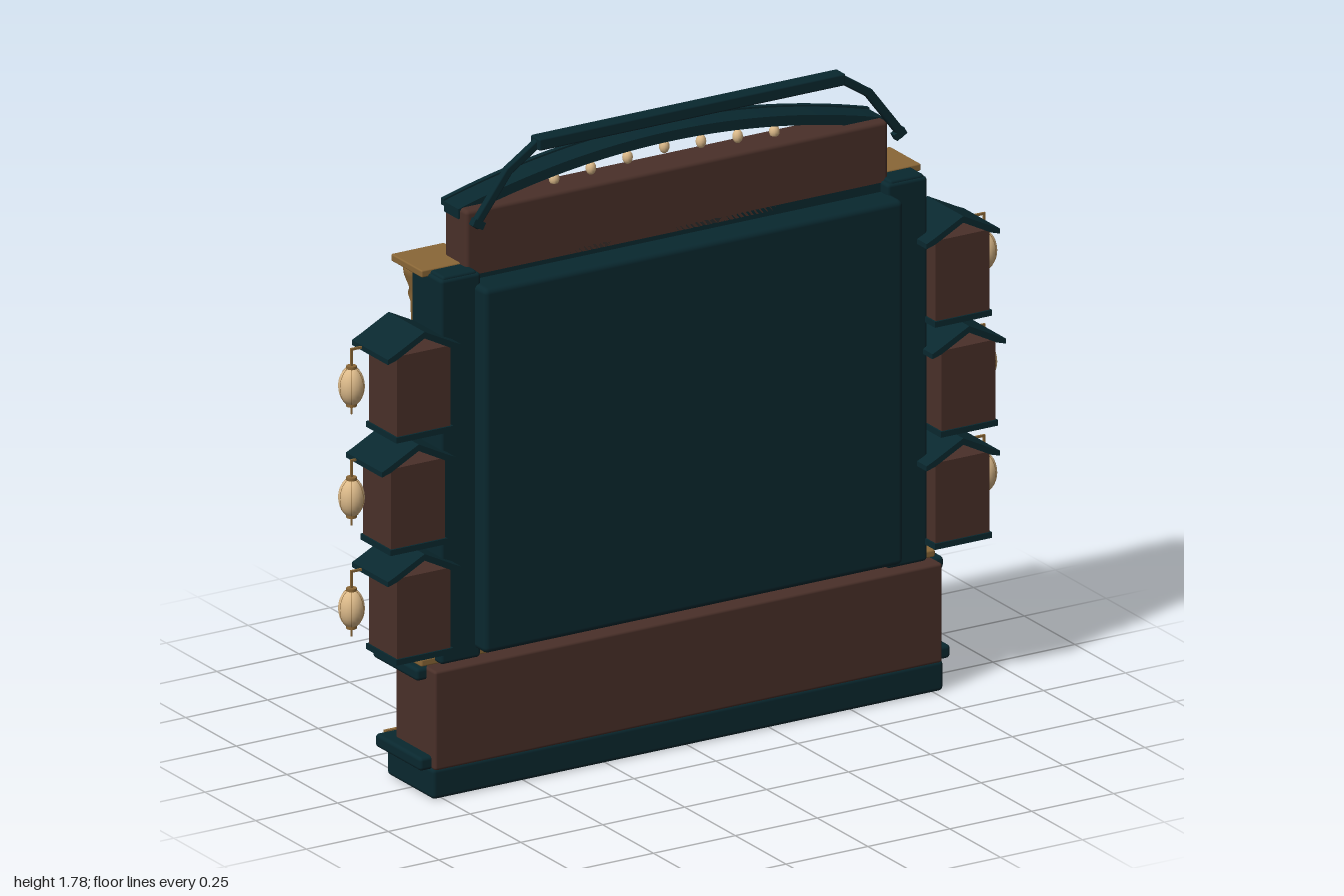
import * as THREE from 'three';
import { RoundedBoxGeometry } from 'three/addons/geometries/RoundedBoxGeometry.js';

const material = (name, color) => {
  const m = new THREE.MeshStandardMaterial({ color });
  m.name = name;
  return m;
};

export function createModel() {
  const root = new THREE.Group();
  const teal = material('dark teal', 0x09282f);
  const brown = material('dark brown', 0x4a3029);
  const gold = material('old gold', 0x8a6737);
  const cream = material('lantern cream', 0xdcba8a);

  const add = (name, geo, mat, x = 0, y = 0, z = 0, parent = root) => {
    const m = new THREE.Mesh(geo, mat);
    m.name = name;
    m.position.set(x, y, z);
    parent.add(m);
    return m;
  };
  // Box given by its limits; r rounds the edges
  const box = (name, mat, x0, x1, y0, y1, z0, z1, r = 0, parent = root) => {
    const s = [x1 - x0, y1 - y0, z1 - z0];
    const g = r ? new RoundedBoxGeometry(...s, 2, r) : new THREE.BoxGeometry(...s);
    return add(name, g, mat, (x0 + x1) / 2, (y0 + y1) / 2, (z0 + z1) / 2, parent);
  };
  const extrude = (shape, depth) =>
    new THREE.ExtrudeGeometry(shape, { depth, bevelEnabled: false, curveSegments: 8 });
  const rect = (T, w, h, r) => {
    const p = new T(), a = w / 2, b = h / 2;
    p.moveTo(-a + r, -b);
    p.lineTo(a - r, -b); p.quadraticCurveTo(a, -b, a, -b + r);
    p.lineTo(a, b - r); p.quadraticCurveTo(a, b, a - r, b);
    p.lineTo(-a + r, b); p.quadraticCurveTo(-a, b, -a, b - r);
    p.lineTo(-a, -b + r); p.quadraticCurveTo(-a, -b, -a + r, -b);
    return p;
  };
  const frame = (name, mat, w, h, t, y, z0, z1, r = 0.002) => {
    const s = rect(THREE.Shape, w, h, r);
    s.holes.push(rect(THREE.Path, w - 2 * t, h - 2 * t, r));
    return add(name, extrude(s, z1 - z0), mat, 0, y, z0);
  };
  // Parabolic arch band
  const arch = (half, y0, rise) => x => y0 + rise * (1 - (x / half) ** 2);
  const band = (name, mat, f, half, thick, z0, z1) => {
    const s = new THREE.Shape(), n = 32;
    for (let i = 0; i <= n; i++) {
      const x = half * (2 * i / n - 1);
      i ? s.lineTo(x, f(x)) : s.moveTo(x, f(x));
    }
    for (let i = n; i >= 0; i--) {
      const x = half * (2 * i / n - 1);
      s.lineTo(x, f(x) - thick);
    }
    return add(name, extrude(s, z1 - z0), mat, 0, 0, z0);
  };

  // Base
  box('plinth', teal, -0.78, 0.78, 0, 0.085, -0.115, 0.115, 0.012);
  box('lowerLedge', teal, -0.81, 0.81, 0.08, 0.117, -0.125, 0.1, 0.01);
  box('baseBody', brown, -0.775, 0.775, 0.08, 0.355, -0.08, 0.117, 0.008);
  box('upperLedge', teal, -0.805, 0.805, 0.32, 0.355, -0.145, 0.075, 0.01);
  box('goldLedge', gold, -0.785, 0.785, 0.353, 0.375, -0.135, 0.065, 0.006);
  box('basePanel', teal, -0.7, 0.7, 0.115, 0.322, -0.088, -0.078);
  box('lowerTrim', gold, -0.78, 0.78, 0.108, 0.12, -0.128, -0.118);
  box('upperTrim', gold, -0.78, 0.78, 0.312, 0.322, -0.092, -0.08);

  // Arched bridge relief with railing
  const deck = arch(0.62, 0.155, 0.105);
  band('bridgeDeck', teal, deck, 0.62, 0.03, -0.116, -0.085);
  band('bridgeEdge', gold, x => deck(x) + 0.006, 0.62, 0.014, -0.122, -0.115);
  band('bridgeRail', gold, x => deck(x) + 0.055, 0.62, 0.017, -0.122, -0.114);
  for (let i = 0; i <= 18; i++) {
    const x = -0.61 + i * 1.22 / 18, y = deck(x);
    box('railPost', gold, x - 0.008, x + 0.008, y, y + 0.055, -0.123, -0.114);
  }
  for (let i = -2; i <= 2; i++) {
    const w = add('waveRelief', new THREE.TorusGeometry(0.035, 0.004, 6, 16, Math.PI), gold,
      i * 0.11, 0.14 + 0.012 * (2 - Math.abs(i)), -0.089);
    w.scale.y = 0.5;
  }

  // Cabinet and recessed screen
  box('rearPanel', teal, -0.64, 0.64, 0.385, 1.395, 0.02, 0.145, 0.016);
  frame('recessWalls', teal, 1.28, 1.05, 0.07, 0.895, -0.052, 0.06);
  frame('outerFrame', gold, 1.22, 1.04, 0.03, 0.893, -0.112, -0.05);
  frame('innerFrame', gold, 1.16, 0.98, 0.016, 0.893, -0.075, -0.045);
  frame('frameGroove', teal, 1.198, 1.018, 0.007, 0.893, -0.114, -0.111);

  // Pillars and columns
  const columnProfile = [[0, 0], [0.048, 0], [0.048, 0.03], [0.038, 0.045], [0.033, 0.08], [0.031, 0.5],
    [0.033, 0.93], [0.04, 0.955], [0.036, 0.97], [0.05, 1.01], [0.055, 1.045], [0, 1.045]]
    .map(p => new THREE.Vector2(...p));
  for (const s of [-1, 1]) {
    const side = (name, mat, a, b, ...rest) =>
      box(name, mat, Math.min(s * a, s * b), Math.max(s * a, s * b), ...rest);
    side('pillar', teal, 0.62, 0.743, 0.36, 1.425, -0.052, 0.095, 0.01);
    side('pillarCap', teal, 0.63, 0.735, 1.4, 1.432, -0.03, 0.09, 0.008);
    side('capitalSlab', gold, 0.6, 0.762, 1.416, 1.436, -0.122, 0.03, 0.004);
    const c = add('column', new THREE.LatheGeometry(columnProfile, 20), gold, s * 0.687, 0.374, -0.08);
    c.scale.x = 1.1;
    c.scale.z = 0.92;
  }

  // Header
  box('header', brown, -0.645, 0.645, 1.395, 1.587, -0.047, 0.06, 0.012);
  box('frameBacking', teal, -0.6, 0.6, 1.405, 1.418, -0.104, -0.04);
  const roof = arch(0.65, 1.585, 0.09);
  band('archRoof', teal, roof, 0.65, 0.028, -0.042, 0.03);
  band('archTrim', gold, x => roof(x) - 0.02, 0.64, 0.01, -0.05, -0.042);
  band('archFascia', teal, x => roof(x) + 0.005, 0.65, 0.018, -0.056, -0.042);
  for (let i = -14; i <= 14; i++) {
    const x = i * 0.044;
    add('archStud', new THREE.SphereGeometry(0.008, 8, 6), gold, x, roof(x) - 0.024, -0.052);
  }
  for (let i = -3; i <= 3; i++) {
    const x = i * 0.112, y = 1.622 - Math.abs(i) * 0.008;
    add('smallLantern', new THREE.SphereGeometry(0.014, 12, 8), cream, x, y, -0.005).scale.y = 1.35;
    add('smallLanternCord', new THREE.CylinderGeometry(0.003, 0.003, 0.03, 6), gold, x, y + 0.028, -0.005);
  }
  // Scroll ornaments
  for (const s of [-1, 1]) {
    for (const d of [-1, 1]) {
      add('scroll', new THREE.TorusGeometry(0.02, 0.005, 6, 16), gold, s * 0.45 + d * 0.04, 1.485, -0.048);
      const tip = add('scrollTip', new THREE.TorusGeometry(0.025, 0.004, 6, 12, Math.PI), gold,
        s * 0.45 + d * 0.06, 1.492, -0.048);
      tip.scale.y = 0.7;
    }
    add('scrollCentre', new THREE.SphereGeometry(0.013, 10, 8), gold, s * 0.45, 1.485, -0.048);
  }
  // Nameplate
  add('signBack', extrude(rect(THREE.Shape, 0.59, 0.165, 0.03), 0.046), teal, 0, 1.455, -0.108);
  frame('signFrame', gold, 0.59, 0.16, 0.015, 1.453, -0.126, -0.1, 0.03);

  // Carrying bar
  const bar = [[-0.65, 1.568], [-0.55, 1.7], [-0.46, 1.759], [0.46, 1.759], [0.55, 1.7], [0.65, 1.568]];
  for (let i = 0; i < bar.length - 1; i++) {
    const [a, b] = [bar[i], bar[i + 1]];
    const dx = b[0] - a[0], dy = b[1] - a[1], top = i === 2;
    const g = new RoundedBoxGeometry(Math.hypot(dx, dy) + 0.015, top ? 0.033 : 0.024, top ? 0.045 : 0.02, 2, 0.005);
    add(top ? 'carryingBar' : 'barArm', g, teal, (a[0] + b[0]) / 2, (a[1] + b[1]) / 2, 0.113)
      .rotation.z = Math.atan2(dy, dx);
  }
  for (const s of [-1, 1]) {
    add('barFoot', new THREE.BoxGeometry(0.035, 0.02, 0.02), teal, s * 0.643, 1.57, 0.113).rotation.z = s * 0.5;
  }

  // Side houses with hanging lanterns; the group origin is the floor centre
  const roofShape = new THREE.Shape([[-0.112, 0.214], [-0.085, 0.222], [0, 0.266], [0.085, 0.222], [0.112, 0.214],
    [0.112, 0.228], [0.09, 0.238], [0, 0.284], [-0.09, 0.238], [-0.112, 0.228]].map(p => new THREE.Vector2(...p)));
  const house = (s, x, y) => {
    const g = new THREE.Group();
    g.name = 'sideHouse';
    g.position.set(s * x, y, 0);
    root.add(g);
    box('houseWalls', brown, -0.082, 0.082, 0, 0.23, 0, 0.138, 0, g);
    add('houseRoof', extrude(roofShape, 0.178), teal, 0, 0, -0.036, g);
    box('houseFloor', teal, -0.087, 0.087, -0.008, 0.008, -0.006, 0.143, 0, g);
    // Four-pane window
    box('windowFrame', gold, -0.047, 0.047, 0.068, 0.188, -0.006, 0.001, 0, g);
    box('windowBack', brown, -0.043, 0.043, 0.072, 0.184, -0.008, -0.002, 0, g);
    for (const i of [-1, 1]) for (const j of [-1, 1]) {
      const px = i * 0.021, py = 0.128 + j * 0.027;
      box('windowPane', cream, px - 0.0165, px + 0.0165, py - 0.022, py + 0.022, -0.011, -0.005, 0, g);
    }
    // Lantern on its squared hook
    const lx = s * (0.965 - x), ly = 0.122, lz = 0.012;
    box('hookArm', gold, Math.min(s * 0.07, lx), Math.max(s * 0.07, lx), 0.22, 0.226, lz - 0.003, lz + 0.003, 0, g);
    box('hookDrop', gold, lx - 0.003, lx + 0.003, 0.175, 0.226, lz - 0.003, lz + 0.003, 0, g);
    add('lantern', new THREE.SphereGeometry(0.035, 20, 14), cream, lx, ly, lz, g).scale.y = 1.5;
    for (let k = 0; k < 3; k++) {
      const rib = add('lanternRib', new THREE.TorusGeometry(0.035, 0.0008, 4, 24), gold, lx, ly, lz, g);
      rib.rotation.y = k * Math.PI / 3;
      rib.scale.y = 1.5;
    }
    for (const d of [-1, 1]) {
      add('lanternCap', new THREE.CylinderGeometry(0.014, 0.014, 0.008, 12), gold, lx, ly + d * 0.052, lz, g);
    }
    add('lanternTassel', new THREE.CylinderGeometry(0.002, 0.002, 0.025, 6), gold, lx, ly - 0.066, lz, g);
  };
  for (const s of [-1, 1]) {
    house(s, 0.822, 1.03);
    house(s, 0.84, 0.722);
    house(s, 0.822, 0.415);
  }
  return root;
}
